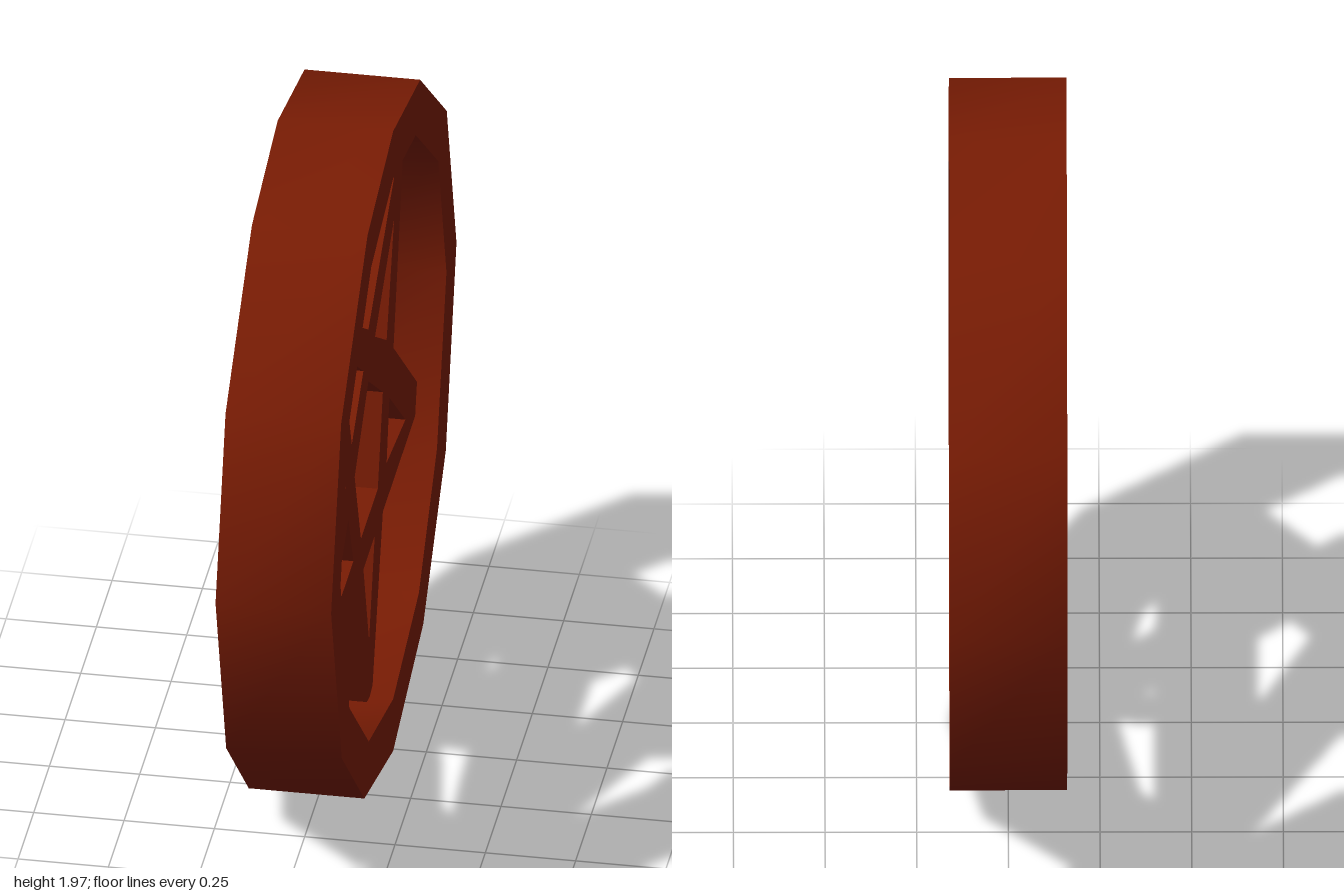
import * as THREE from 'three';
import { toCreasedNormals } from 'three/addons/utils/BufferGeometryUtils.js';

const rust = new THREE.MeshStandardMaterial({ color: 0x7a1c04 });
rust.name = 'rust red';

// Turns [z, y] pairs into 2D points
const points = (pairs) => pairs.map(([z, y]) => new THREE.Vector2(z, y));

// Extrudes a counter-clockwise z-y outline with holes along x, centred on x = 0
function plate(name, outline, holes, depth) {
  const shape = new THREE.Shape(points(outline));
  holes.forEach((h) => shape.holes.push(new THREE.Path(points(h))));
  let geo = new THREE.ExtrudeGeometry(shape, { depth, bevelEnabled: false });
  geo.translate(0, 0, -depth / 2);
  geo.rotateY(-Math.PI / 2);
  geo = toCreasedNormals(geo, 1.0);
  const mesh = new THREE.Mesh(geo, rust);
  mesh.name = name;
  return mesh;
}

export function createModel() {
  const group = new THREE.Group();
  group.name = 'starMedallion';

  // Twelve-sided rim
  const outer = [
    [0.01, 1.97], [-0.42, 1.88], [-0.845, 1.53], [-1, 1.02], [-0.83, 0.46], [-0.47, 0.12],
    [0.01, 0], [0.47, 0.12], [0.83, 0.46], [1, 1.02], [0.84, 1.53], [0.42, 1.88],
  ];
  const inner = [
    [0.01, 1.82], [-0.35, 1.745], [-0.71, 1.45], [-0.84, 1.02], [-0.69, 0.55], [-0.4, 0.26],
    [0.01, 0.165], [0.4, 0.26], [0.71, 0.55], [0.85, 1.02], [0.72, 1.45], [0.36, 1.745],
  ];
  group.add(plate('rim', outer, [inner], 0.32));

  // Interlaced star, its tips set into the rim
  const star = [
    [0.57, 1.64], [0.52, 1.66], [0.03, 1.345], [-0.52, 1.67], [-0.54, 1.64],
    [-0.37, 1.05], [-0.78, 0.69], [-0.78, 0.63], [-0.2, 0.63], [-0.02, 0.13],
    [0.04, 0.13], [0.23, 0.635], [0.79, 0.665], [0.79, 0.73], [0.39, 1.055],
  ];
  const openings = [
    [[0.03, 1.18], [0.25, 1.005], [0.15, 0.75], [-0.12, 0.75], [-0.2, 1.01]], // centre
    [[0.445, 1.505], [0.11, 1.26], [0.295, 1.135]], // upper front arm
    [[-0.38, 1.455], [-0.075, 1.26], [-0.26, 1.14]], // upper back arm
    [[0.61, 0.75], [0.35, 0.93], [0.27, 0.75]], // lower front arm
    [[-0.56, 0.71], [-0.305, 0.93], [-0.26, 0.75]], // lower back arm
    [[0.02, 0.35], [0.11, 0.63], [-0.07, 0.63]], // bottom arm
  ];
  group.add(plate('star', star, openings, 0.19));

  return group;
}
